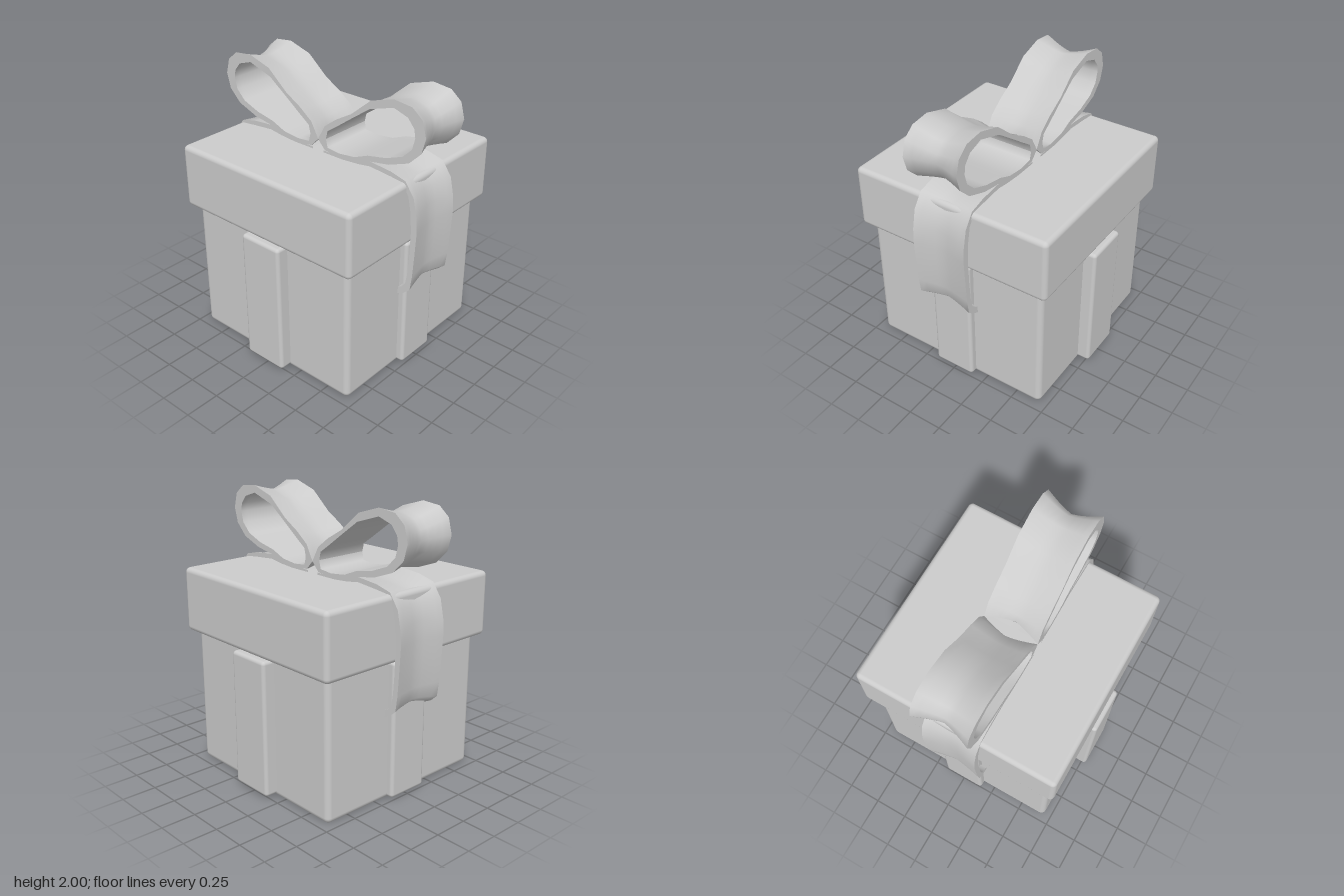
import * as THREE from 'three';
import { mergeGeometries } from 'three/addons/utils/BufferGeometryUtils.js';
import { RoundedBoxGeometry } from 'three/addons/geometries/RoundedBoxGeometry.js';

const material = new THREE.MeshStandardMaterial({ color: 0xcccccc });
const ribbonMaterial = new THREE.MeshStandardMaterial({ color: 0xcccccc, side: THREE.DoubleSide });
const HALF_WIDTH = 0.203;

// Ribbon edge contours as [z, y]: outer face and inner face
const loopOuter = [
  [0, 1.55], [0.06, 1.66], [0.16, 1.735], [0.29, 1.81], [0.45, 1.945], [0.63, 2.0], [0.77, 1.985], [0.85, 1.92],
  [0.88, 1.81], [0.85, 1.7], [0.76, 1.61], [0.6, 1.55], [0.45, 1.525], [0.33, 1.49], [0.19, 1.473], [0.06, 1.485], [0, 1.55],
];
const loopInner = [
  [0.07, 1.57], [0.085, 1.63], [0.17, 1.69], [0.3, 1.785], [0.44, 1.885], [0.63, 1.945], [0.74, 1.91], [0.79, 1.85],
  [0.8, 1.79], [0.78, 1.71], [0.71, 1.64], [0.58, 1.59], [0.43, 1.56], [0.32, 1.515], [0.19, 1.5], [0.085, 1.51], [0.07, 1.57],
];
const tailOuter = [
  [0.05, 1.48], [0.22, 1.48], [0.34, 1.495], [0.45, 1.525], [0.62, 1.51], [0.74, 1.48], [0.81, 1.38],
  [0.84, 1.24], [0.845, 1.13], [0.835, 0.95], [0.825, 0.8], [0.81, 0.69], [0.76, 0.645], [0.71, 0.62],
];
const tailInner = [
  [0.05, 1.465], [0.22, 1.465], [0.35, 1.475], [0.45, 1.49], [0.62, 1.475], [0.71, 1.465], [0.768, 1.38],
  [0.79, 1.27], [0.8, 1.13], [0.795, 0.95], [0.785, 0.8], [0.77, 0.72], [0.745, 0.69], [0.715, 0.675],
];

// Smooth grid surface through point(i, j)
function sheet(rows, cols, point) {
  const positions = [], index = [];
  for (let i = 0; i < rows; i++) {
    for (let j = 0; j < cols; j++) {
      positions.push(...point(i, j));
      if (i && j) {
        const d = i * cols + j, c = d - 1, b = d - cols, a = b - 1;
        index.push(a, c, b, b, c, d);
      }
    }
  }
  const geometry = new THREE.BufferGeometry();
  geometry.setAttribute('position', new THREE.Float32BufferAttribute(positions, 3));
  geometry.setIndex(index);
  geometry.computeVertexNormals();
  return geometry;
}

// Ribbon with thick rims whose outer face dips toward the inner face at mid width
function ribbon(name, outer, inner) {
  const n = outer.length, cols = 9;
  const xAt = (j) => HALF_WIDTH * (2 * j / (cols - 1) - 1);
  const mix = (i, t) => [0, 1].map((k) => outer[i][k] + (inner[i][k] - outer[i][k]) * t);
  const at = (i, x, t) => { const [z, y] = mix(i, t); return [x, y, z]; };
  const dip = (x) => 0.88 * (1 - Math.pow(Math.abs(x) / HALF_WIDTH, 1.3));
  const parts = [
    sheet(n, cols, (i, j) => at(i, xAt(j), dip(xAt(j)))),
    sheet(n, cols, (i, j) => at(i, -xAt(j), 1)),
    sheet(n, 2, (i, j) => at(i, HALF_WIDTH, j)),
    sheet(n, 2, (i, j) => at(i, -HALF_WIDTH, 1 - j)),
    // Closing face at the free end
    sheet(2, cols, (i, j) => at(n - 1, xAt(j), i ? 1 : dip(xAt(j)))),
  ];
  const mesh = new THREE.Mesh(mergeGeometries(parts), ribbonMaterial);
  mesh.name = name;
  return mesh;
}

// Rounded block standing on y = bottom
function block(name, width, bottom, top, depth, radius) {
  const mesh = new THREE.Mesh(new RoundedBoxGeometry(width, top - bottom, depth, 3, radius), material);
  mesh.position.set(0, (bottom + top) / 2, -0.005);
  mesh.name = name;
  return mesh;
}

export function createModel() {
  const model = new THREE.Group();
  model.name = 'giftBox';

  // Box, lid and the bands wrapped around the sides
  model.add(block('boxBody', 1.39, 0, 1.04, 1.39, 0.04));
  model.add(block('lid', 1.51, 1.0, 1.465, 1.51, 0.035));
  model.add(block('sideBand', 1.57, 0.02, 1.0, 0.34, 0.025));
  model.add(block('frontBand', 0.315, 0.015, 1.0, 1.495, 0.025));

  // Bow: one loop and one hanging tail on the front and on the back
  for (const [name, angle] of [['frontBow', 0], ['backBow', Math.PI]]) {
    const half = new THREE.Group();
    half.name = name;
    half.add(ribbon('bowLoop', loopOuter, loopInner), ribbon('ribbonTail', tailOuter, tailInner));
    half.rotation.y = angle;
    model.add(half);
  }
  return model;
}
